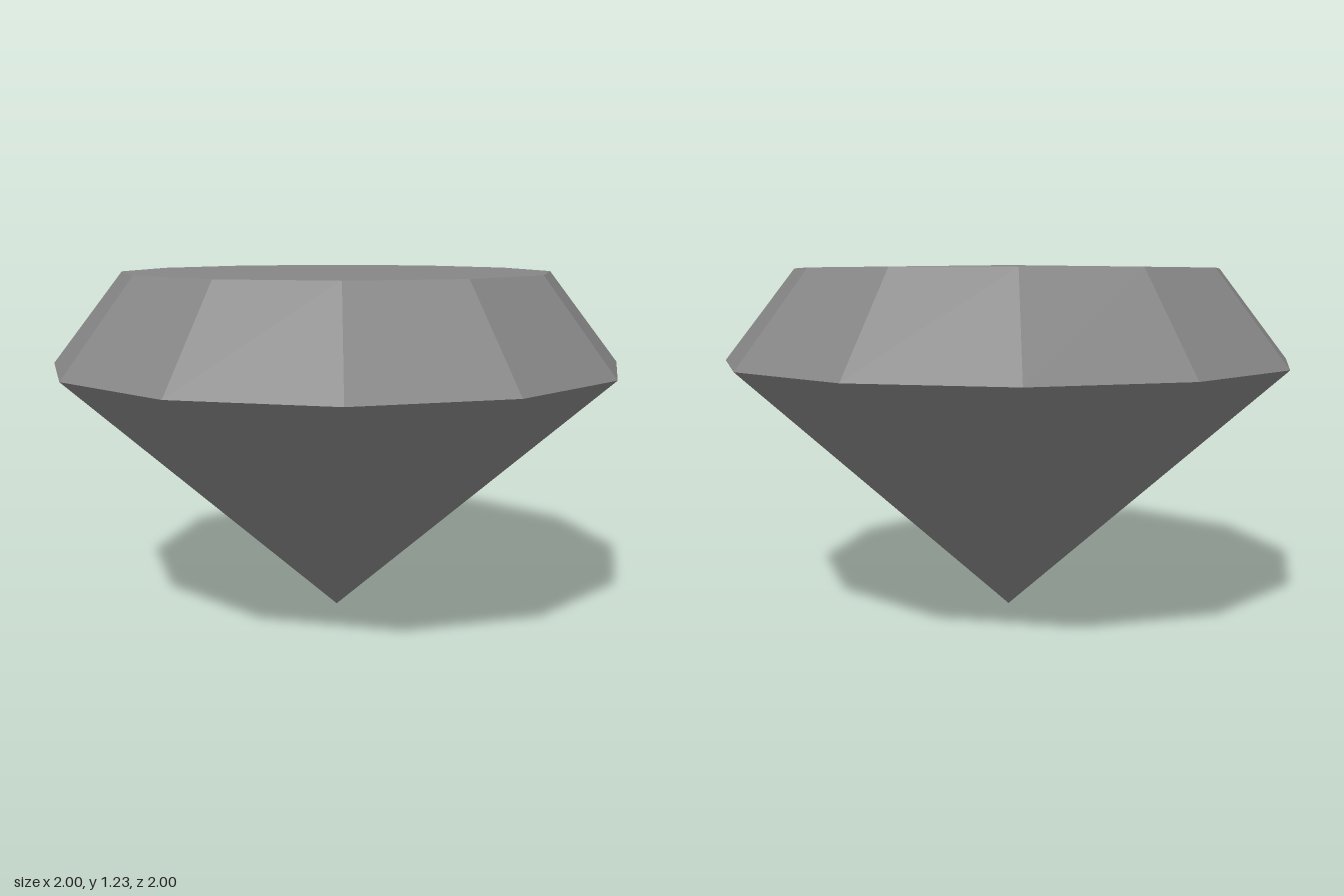
import * as THREE from 'three';

const SIDES = 12;

export function createModel() {
  const gem = new THREE.Group();
  gem.name = 'gem';
  const material = new THREE.MeshStandardMaterial({ color: 0x868686, flatShading: true });

  // One faceted ring between two heights, left open where it meets its neighbours
  function facets(name, bottomRadius, bottomY, topRadius, topY) {
    const height = topY - bottomY;
    const geometry = new THREE.CylinderGeometry(topRadius, bottomRadius, height, SIDES, 1, true);
    geometry.translate(0, bottomY + height / 2, 0);
    const mesh = new THREE.Mesh(geometry, material);
    mesh.name = name;
    gem.add(mesh);
  }

  // Pointed lower half
  facets('pavilion', 0, 0, 1, 0.9);
  // Sloping upper band
  facets('crown', 1, 0.9, 0.75, 1.22);
  // Top face, rising very slightly to its centre
  facets('table', 0.75, 1.22, 0, 1.232);

  return gem;
}
